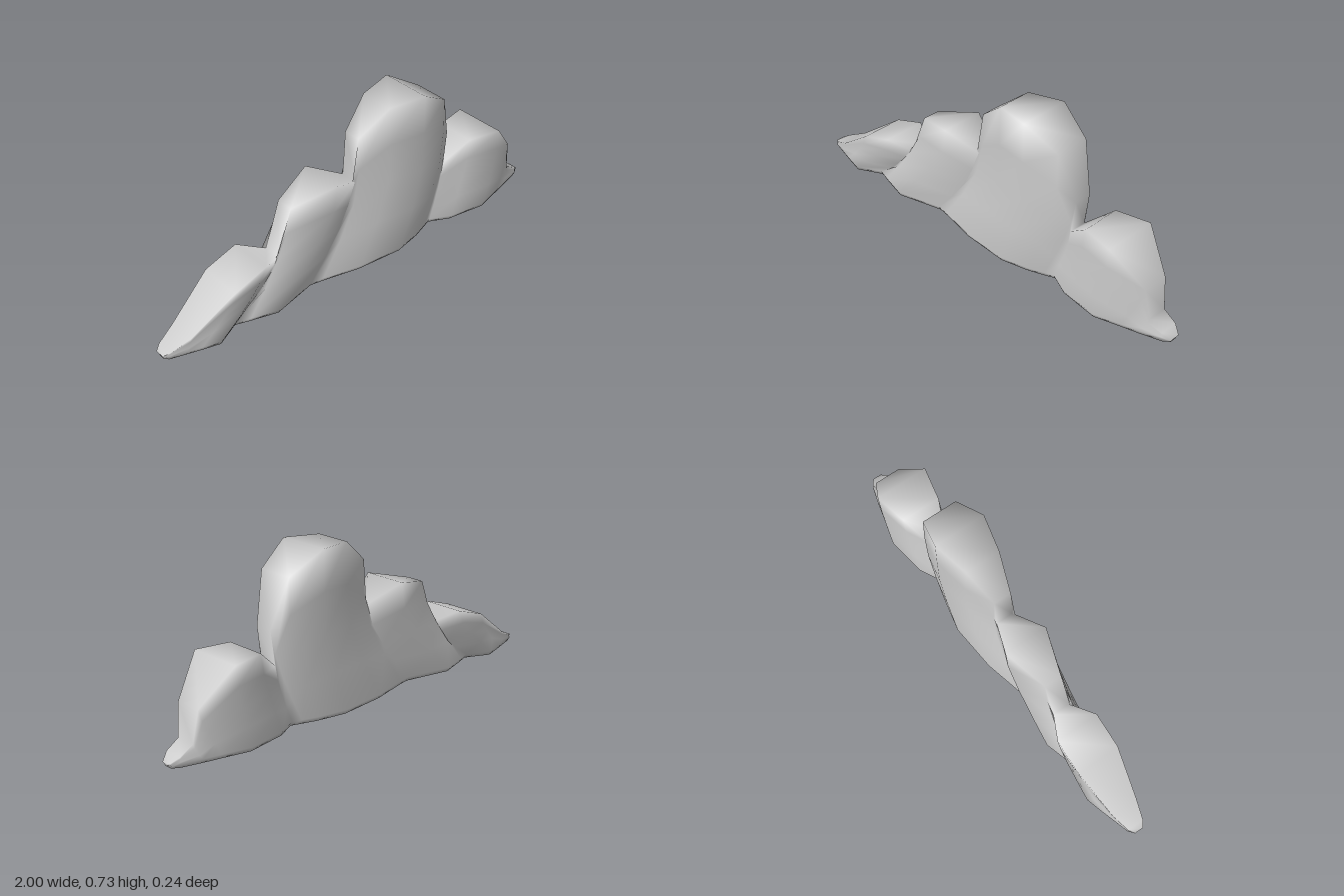
import * as THREE from 'three';

// Columns from left to right: [base x, base half depth, top x, top y, top half depth]
const columns = [
  // low puff
  [-0.99, 0.025, -1.0, 0.024, 0.02],
  [-0.975, 0.04, -0.975, 0.036, 0.038],
  [-0.91, 0.06, -0.89, 0.075, 0.062],
  [-0.85, 0.078, -0.69, 0.22, 0.1],
  [-0.77, 0.1, -0.54, 0.27, 0.1],
  [-0.66, 0.045, -0.43, 0.23, 0.04],
  // middle puff
  [-0.6, 0.065, -0.36, 0.435, 0.04],
  [-0.48, 0.1, -0.17, 0.485, 0.1],
  [-0.27, 0.05, -0.02, 0.41, 0.04],
  // tall puff
  [-0.215, 0.06, -0.005, 0.61, 0.04],
  [-0.045, 0.1, 0.13, 0.72, 0.08],
  [0.17, 0.118, 0.29, 0.73, 0.117],
  [0.3, 0.09, 0.44, 0.64, 0.08],
  [0.37, 0.065, 0.505, 0.43, 0.04],
  [0.41, 0.05, 0.485, 0.28, 0.04],
  // end puff
  [0.5, 0.095, 0.6, 0.375, 0.09],
  [0.68, 0.122, 0.75, 0.375, 0.122],
  [0.8, 0.09, 0.885, 0.22, 0.06],
  [0.88, 0.07, 0.905, 0.08, 0.045],
  [0.965, 0.045, 0.965, 0.045, 0.042],
  [0.99, 0.025, 1.0, 0.02, 0.02],
];
const ROWS = 5;

// Front edge of one column: a small bevel at the foot, then a sweep up to the top
function columnProfile([xb, hb, xt, yt, ht]) {
  const points = [[xb, 0, hb - 0.01]];
  const foot = Math.min(0.02, yt * 0.5);
  const bend = Math.min(yt, 0.42);
  for (let r = 0; r < ROWS; r++) {
    const t = r / (ROWS - 1);
    const y = THREE.MathUtils.lerp(foot, yt, t);
    const lean = 1 - Math.pow(1 - Math.min((y - foot) / (bend - foot), 1), 1.4);
    points.push([
      THREE.MathUtils.lerp(xb, xt, lean),
      y,
      THREE.MathUtils.lerp(hb, ht, t),
    ]);
  }
  return points;
}

// Closed rings (front going up, back coming down) joined from left to right
function buildBody() {
  const positions = [];
  const index = [];
  const n = (ROWS + 1) * 2;
  for (const column of columns) {
    const front = columnProfile(column);
    const back = front.map(([x, y, z]) => [x, y, -z]).reverse();
    for (const p of [...front, ...back]) positions.push(...p);
  }
  for (let i = 0; i < columns.length - 1; i++) {
    for (let j = 0; j < n; j++) {
      const a = i * n + j;
      const b = i * n + ((j + 1) % n);
      index.push(a, a + n, b + n, a, b + n, b);
    }
  }
  // end caps
  const last = (columns.length - 1) * n;
  for (let j = 1; j < n - 1; j++) {
    index.push(0, j, j + 1);
    index.push(last, last + j + 1, last + j);
  }
  const geometry = new THREE.BufferGeometry();
  geometry.setAttribute('position', new THREE.Float32BufferAttribute(positions, 3));
  geometry.setIndex(index);
  geometry.computeVertexNormals();
  return geometry;
}

export function createModel() {
  const group = new THREE.Group();
  group.name = 'cloud';
  const body = new THREE.Mesh(buildBody(), new THREE.MeshStandardMaterial({ color: 0xcccccc }));
  body.name = 'cloudBody';
  group.add(body);
  return group;
}
